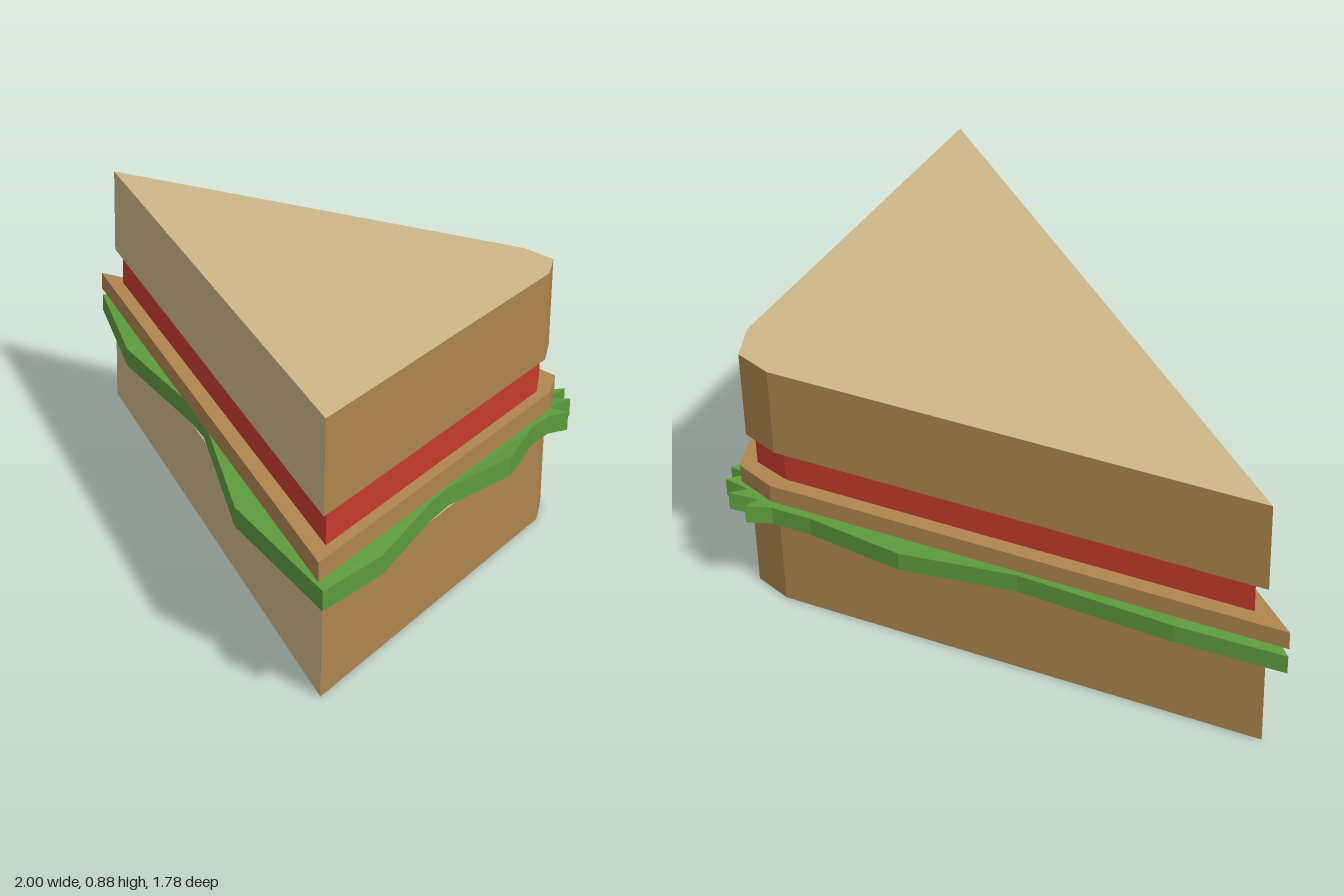
import * as THREE from 'three';

const mat = (name, color, extra = {}) => {
  const m = new THREE.MeshStandardMaterial({ color, ...extra });
  m.name = name;
  return m;
};

// Extrudes an [x, z] outline upward from y0 to y1
function slab(outline, y0, y1) {
  const shape = new THREE.Shape(outline.map(([x, z]) => new THREE.Vector2(x, -z)));
  const geo = new THREE.ExtrudeGeometry(shape, { depth: y1 - y0, bevelEnabled: false });
  geo.rotateX(-Math.PI / 2);
  geo.translate(0, y0, 0);
  return geo;
}

// Crumb on the top and the diagonal cut (material 0), crust elsewhere (material 1)
function paintBread(geo) {
  const n = geo.attributes.normal;
  geo.clearGroups();
  for (let i = 0; i < n.count; i += 3) {
    const cut = n.getX(i) < -0.3 && n.getZ(i) > 0.3;
    geo.addGroup(i, 3, n.getY(i) > 0.5 || cut ? 0 : 1);
  }
  return geo;
}

export function createModel() {
  const crumb = mat('crumb', 0xcfb88b);
  const crust = mat('crust', 0xb0864f);
  const tomatoRed = mat('tomato red', 0xc83c2f);
  const leafGreen = mat('leaf green', 0x5e9c3e);

  const group = new THREE.Group();
  group.name = 'sandwich';
  const add = (name, geo, material) => {
    const mesh = new THREE.Mesh(geo, material);
    mesh.name = name;
    group.add(mesh);
  };

  // Half slices of bread with a clipped back corner
  const bread = [[-0.92, -0.815], [0.73, -0.815], [0.86, -0.765], [0.91, -0.63], [0.91, 0.83]];
  add('bottomBread', paintBread(slab(bread, 0, 0.3)), [crumb, crust]);
  add('topBread', paintBread(slab(bread, 0.575, 0.875)), [crumb, crust]);

  // Tomato layer, set slightly inside the bread
  const tomato = [[-0.87, -0.79], [0.71, -0.79], [0.84, -0.745], [0.89, -0.62], [0.89, 0.78]];
  add('tomato', slab(tomato, 0.461, 0.574), tomatoRed);

  // Thin filling slice, overhanging the bread
  const filling = [[-1, -0.84], [0.74, -0.84], [0.88, -0.785], [0.93, -0.64], [0.93, 0.89]];
  add('fillingSlice', slab(filling, 0.4, 0.461), crust);

  // Lettuce leaf: wavy outline as [x, z, lift], with frills round the back corner
  const leaf = [
    [-1, -0.845, 0], [-0.65, -0.875, 0.02], [-0.12, -0.84, 0.01], [0.26, -0.895, 0.01],
    [0.6, -0.84, 0], [0.74, -0.84, 0],
    [0.81, -0.885, 0.015], [0.8, -0.82, 0], [0.89, -0.85, 0.02], [0.86, -0.785, 0],
    [0.94, -0.785, 0.015], [0.9, -0.71, 0], [0.97, -0.705, 0], [0.93, -0.64, 0],
    [0.93, -0.52, 0.005], [0.995, -0.22, 0.02], [0.93, 0.08, 0.015], [0.93, 0.2, 0.01],
    [0.975, 0.59, 0], [0.945, 0.89, 0],
    [0.44, 0.545, 0.005], [0.01, 0.04, 0.02], [-0.1, -0.05, 0.02], [-0.59, -0.4, 0.005],
  ];
  const leafGeo = slab(leaf, 0.312, 0.375);
  const p = leafGeo.attributes.position;
  for (let i = 0; i < p.count; i++) {
    const near = leaf.find(([x, z]) => Math.hypot(x - p.getX(i), z - p.getZ(i)) < 1e-3);
    if (near) p.setY(i, p.getY(i) + near[2]);
  }
  leafGeo.computeVertexNormals();
  add('lettuce', leafGeo, leafGreen);

  return group;
}
